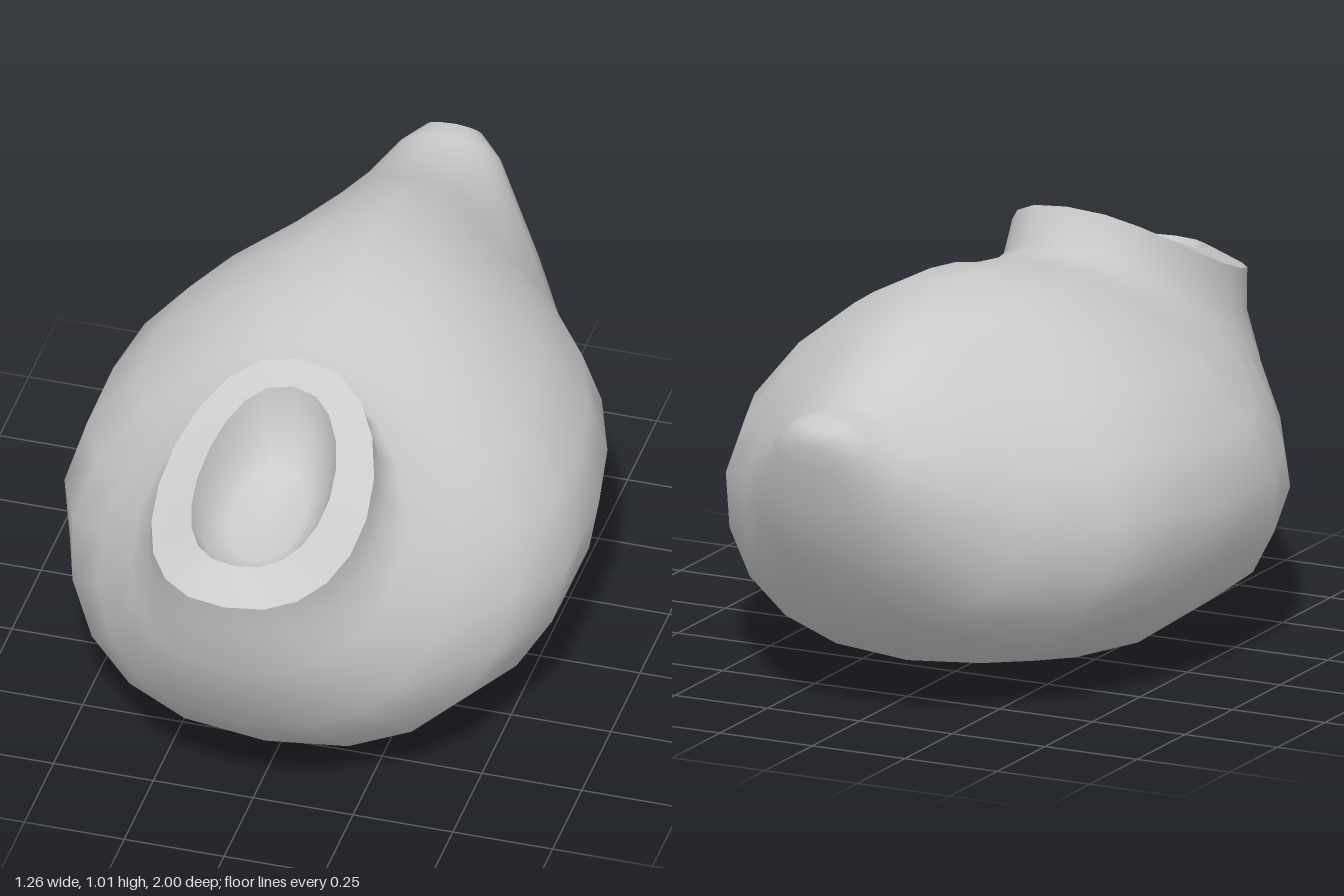
import * as THREE from 'three';
import { mergeVertices } from 'three/addons/utils/BufferGeometryUtils.js';

const SIDES = 20;

// Each section is a tilted oval: [top z, top y, bottom z, bottom y, half width, side sag, upper taper]
const cavity = [
  [0.60, 0.745, 0.60, 0.745, 0, 0, 0],
  [0.48, 0.79, 0.76, 0.71, 0.09, 0, 0],
  [0.42, 0.88, 0.86, 0.73, 0.14, 0.02, 0],
  [0.41, 0.985, 0.91, 0.80, 0.165, 0.035, 0],
];
const rim = [
  cavity[cavity.length - 1],
  [0.335, 1.015, 1.0, 0.74, 0.26, 0.055, 0],
];
const body = [
  rim[1],
  [0.30, 0.925, 0.975, 0.64, 0.275, 0.05, 0.05],
  [0.27, 0.915, 0.95, 0.52, 0.33, 0.05, 0.15],
  [0.22, 0.918, 0.86, 0.30, 0.44, 0.05, 0.25],
  [0.15, 0.925, 0.65, 0.10, 0.555, 0.04, 0.3],
  [0.07, 0.945, 0.35, 0.015, 0.63, 0.04, 0.3],
  [-0.05, 0.963, -0.07, 0.0, 0.63, 0.04, 0.3],
  [-0.20, 0.975, -0.27, 0.04, 0.60, 0.04, 0.35],
  [-0.35, 0.955, -0.50, 0.09, 0.53, 0.05, 0.4],
  [-0.50, 0.93, -0.73, 0.23, 0.375, 0.05, 0.4],
  [-0.65, 0.865, -0.88, 0.42, 0.275, 0.04, 0.35],
  [-0.80, 0.805, -0.95, 0.57, 0.19, 0.02, 0.25],
  [-0.90, 0.81, -0.99, 0.69, 0.125, 0.01, 0.1],
  [-0.96, 0.81, -1.0, 0.745, 0.07, 0, 0],
  [-0.995, 0.785, -0.995, 0.785, 0, 0, 0],
];

// Skin a list of sections into a closed band
function loft(name, sections, material) {
  const positions = [];
  const index = [];
  sections.forEach(([tz, ty, bz, by, w, sag, taper], r) => {
    for (let i = 0; i < SIDES; i++) {
      const a = (i / SIDES) * Math.PI * 2;
      const t = (1 - Math.cos(a)) / 2;
      const s = Math.sin(a);
      const side = Math.sign(s) * Math.abs(s) ** 0.85;
      const x = w * side * (1 - taper * Math.max(0, Math.cos(a)) ** 2);
      positions.push(x, ty + (by - ty) * t - sag * s * s, tz + (bz - tz) * t);
      if (r < sections.length - 1) {
        const p = r * SIDES + i;
        const q = r * SIDES + ((i + 1) % SIDES);
        index.push(p, q, p + SIDES, q, q + SIDES, p + SIDES);
      }
    }
  });
  let geometry = new THREE.BufferGeometry();
  geometry.setAttribute('position', new THREE.Float32BufferAttribute(positions, 3));
  geometry.setIndex(index);
  geometry = mergeVertices(geometry, 1e-4);
  geometry.computeVertexNormals();
  const mesh = new THREE.Mesh(geometry, material);
  mesh.name = name;
  return mesh;
}

export function createModel() {
  const material = new THREE.MeshStandardMaterial({ color: 0xcccccc });
  const group = new THREE.Group();
  group.name = 'spoutedVessel';
  group.add(
    loft('body', body, material), // rounded belly running back to a raised tip
    loft('rim', rim, material), // flat lip around the mouth
    loft('cavity', cavity, material), // shallow hollow inside the mouth
  );
  return group;
}
